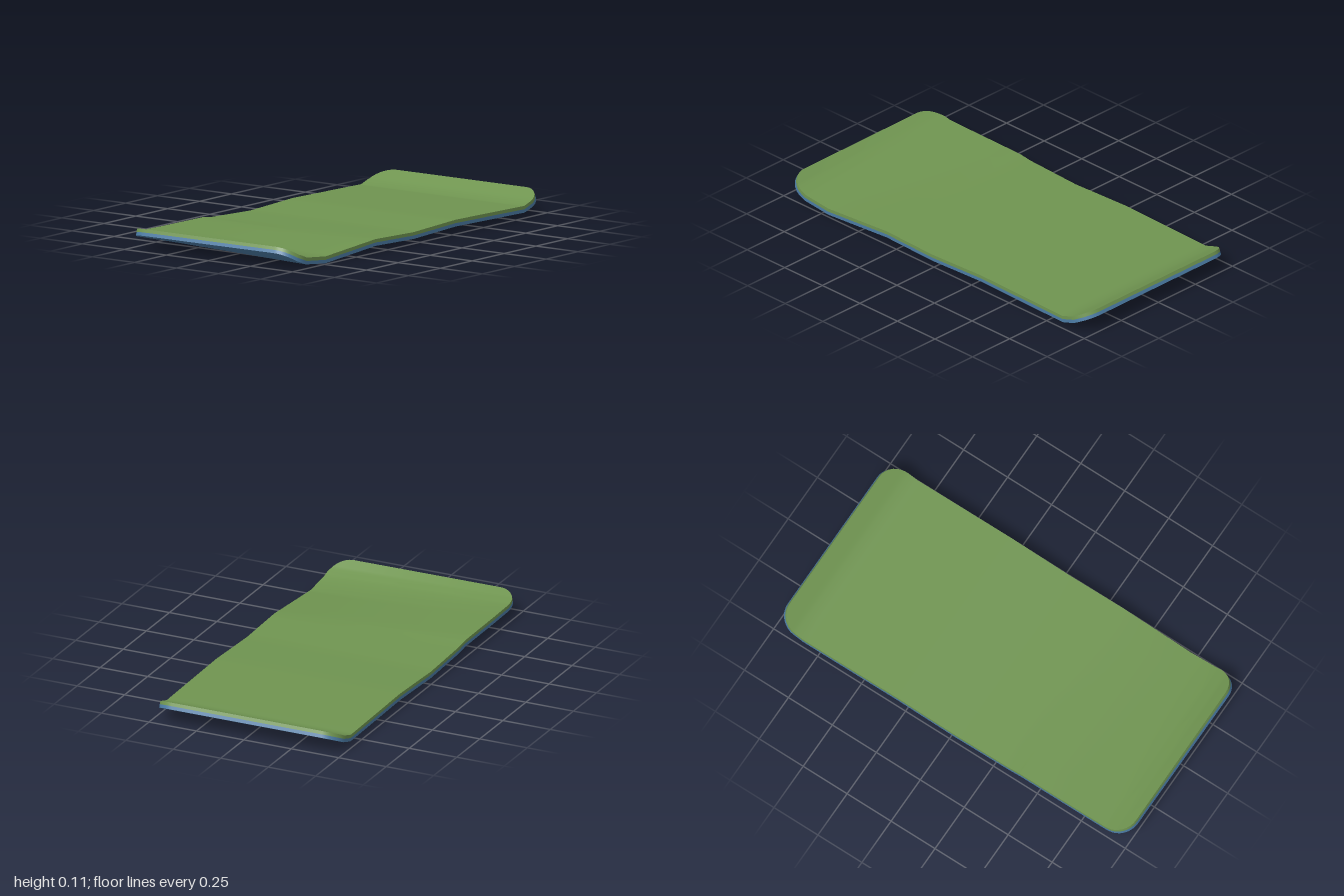
import * as THREE from 'three';
import { toCreasedNormals } from 'three/addons/utils/BufferGeometryUtils.js';

const HALF_X = 0.991, HALF_Z = 0.485, RADIUS = 0.1, HALF_THICK = 0.0165, Z_STEPS = 8;

// Mid-surface: [x, height at the front edge, extra height at the back edge]
const PROFILE = [
  [-0.991, 0.094, 0], [-0.93, 0.057, 0.018], [-0.87, 0.034, 0.029], [-0.72, 0.0185, 0.042],
  [-0.4, 0.041, 0.017], [-0.33, 0.046, 0.003], [-0.03, 0.037, 0], [0.3, 0.05, 0],
  [0.84, 0.04, 0], [0.91, 0.062, 0], [0.991, 0.101, 0],
];

function height(x, z) {
  let i = 0;
  while (i < PROFILE.length - 2 && x > PROFILE[i + 1][0]) i++;
  const [x0, y0, l0] = PROFILE[i], [x1, y1, l1] = PROFILE[i + 1];
  const t = (x - x0) / (x1 - x0);
  const lift = l0 + (l1 - l0) * t;
  return y0 + (y1 - y0) * t + lift * (HALF_Z - z) / (2 * HALF_Z);
}

// Point on the curved sheet, pushed off the mid-surface along its normal
function sheetPoint(x, z, offset) {
  const h = 0.015;
  const slope = (height(x + h, z) - height(x - h, z)) / (2 * h);
  const len = Math.hypot(1, slope);
  return [x - offset * slope / len, height(x, z) + offset / len, z];
}

// Cross-section positions along x with the half width of the rounded outline
function stations() {
  const list = PROFILE.slice(1, -1).map(p => [p[0], null]);
  for (let k = 0; k <= 8; k++) {
    const a = k / 8 * Math.PI / 2;
    const x = HALF_X - RADIUS + RADIUS * Math.sin(a);
    list.push([x, null], [-x, null]);
  }
  for (let k = -8; k <= 8; k++) list.push([k * 0.1 + 0.013, null]);
  list.sort((a, b) => a[0] - b[0]);
  return list.map(([x]) => {
    const d = Math.min(RADIUS, Math.max(0, Math.abs(x) - (HALF_X - RADIUS)));
    return [x, HALF_Z - RADIUS + Math.sqrt(Math.max(0, RADIUS * RADIUS - d * d))];
  });
}

// Closed slab between two offsets from the mid-surface
function layerGeometry(bottom, top) {
  const pos = [], idx = [], rows = stations(), n = Z_STEPS + 1, ring = 2 * n;
  for (const [x, w] of rows) {
    for (let j = 0; j < ring; j++) {
      const k = j < n ? j : ring - 1 - j;
      pos.push(...sheetPoint(x, -w + 2 * w * k / Z_STEPS, j < n ? top : bottom));
    }
  }
  const quad = (a, b, c, d) => idx.push(a, b, c, a, c, d);
  for (let i = 0; i < rows.length - 1; i++) {
    for (let j = 0; j < ring; j++) {
      const a = i * ring, b = a + ring, m = (j + 1) % ring;
      quad(a + j, a + m, b + m, b + j);
    }
  }
  // End caps
  const e = (rows.length - 1) * ring;
  for (let j = 0; j < Z_STEPS; j++) {
    const p = ring - 1 - j;
    quad(e + j, e + j + 1, e + p - 1, e + p);
    quad(p, p - 1, j + 1, j);
  }
  const geo = new THREE.BufferGeometry();
  geo.setAttribute('position', new THREE.Float32BufferAttribute(pos, 3));
  geo.setIndex(idx);
  return toCreasedNormals(geo, 0.7);
}

export function createModel() {
  const group = new THREE.Group();
  group.name = 'mat';
  const add = (name, bottom, top, color) => {
    const mesh = new THREE.Mesh(layerGeometry(bottom, top), new THREE.MeshStandardMaterial({ color }));
    mesh.name = name;
    group.add(mesh);
  };
  add('topLayer', 0, HALF_THICK, 0x6f9450);
  add('bottomLayer', -HALF_THICK, 0, 0x4a7aa3);
  return group;
}
